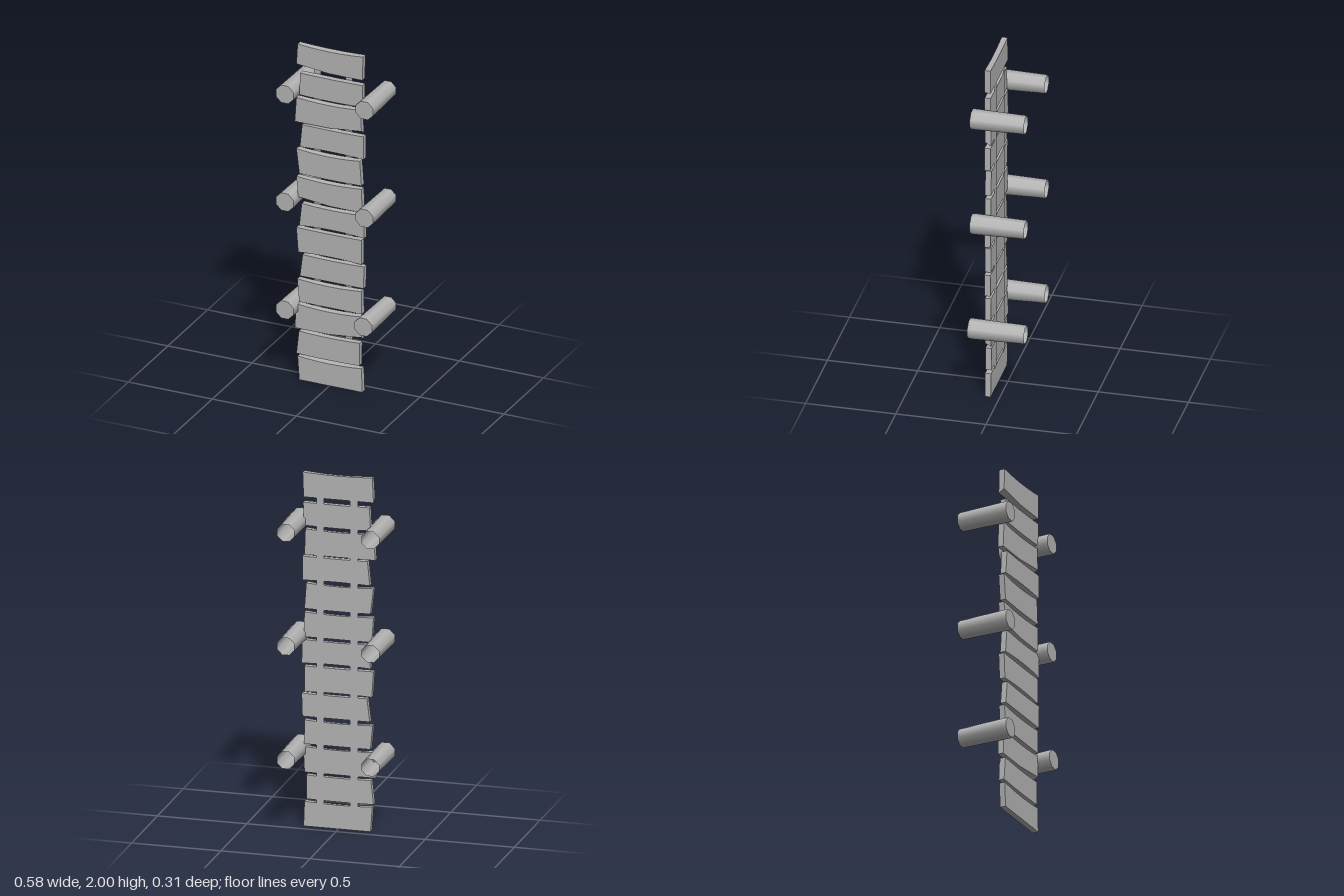
import * as THREE from 'three';

const greyWood = new THREE.MeshStandardMaterial({ color: 0xb4b4b4, side: THREE.DoubleSide });
greyWood.name = 'grey wood';

// Each plank: bottom y, top y, left x (bottom, top), right x (bottom, top),
// dip of the top edge, rise of the bottom edge, chipped lower corner (-1, 0 or 1)
const PLANKS = [
  [0.00, 0.14, -0.18, -0.19, 0.195, 0.19, 0.010, 0, 0],
  [0.155, 0.29, -0.197, -0.182, 0.178, 0.18, 0.006, -0.004, 0],
  [0.305, 0.45, -0.207, -0.197, 0.19, 0.197, 0.012, 0, 1],
  [0.465, 0.60, -0.18, -0.192, 0.192, 0.19, 0.010, 0, 0],
  [0.62, 0.75, -0.176, -0.16, 0.202, 0.206, 0.004, 0, 0],
  [0.76, 0.905, -0.187, -0.197, 0.19, 0.19, 0.002, 0.008, 0],
  [0.92, 1.055, -0.18, -0.165, 0.206, 0.202, 0.008, 0.010, 0],
  [1.07, 1.21, -0.187, -0.197, 0.195, 0.19, 0.010, 0, -1],
  [1.23, 1.375, -0.18, -0.197, 0.19, 0.18, 0.012, -0.003, 0],
  [1.39, 1.525, -0.176, -0.163, 0.202, 0.202, 0.003, 0.006, 0],
  [1.535, 1.68, -0.207, -0.197, 0.19, 0.185, 0.010, 0, 1],
  [1.70, 1.83, -0.18, -0.174, 0.195, 0.197, 0.003, -0.005, 0],
  [1.86, 2.00, -0.197, -0.19, 0.195, 0.2, 0.010, 0, -1],
];

// A box whose ends slant and whose long edges bow
function makePlank([y0, y1, lb, lt, rb, rt, dip, rise, chip]) {
  const geo = new THREE.BoxGeometry(2, 1, 1, 6, 1, 1);
  const p = geo.attributes.position;
  for (let i = 0; i < p.count; i++) {
    const u = p.getX(i), top = p.getY(i) > 0, front = p.getZ(i) > 0;
    const bow = (1 - u * u) * (front ? 1 : 0.6);
    const left = top ? lt : lb, right = top ? rt : rb;
    let y = top ? y1 - dip * bow : y0 + rise * bow;
    if (!top && front && chip) y += 0.02 * Math.max(0, u * chip);
    p.setXYZ(i, left + (right - left) * (u + 1) / 2, y, front ? 0.081 : 0.048);
  }
  geo.computeVertexNormals();
  return new THREE.Mesh(geo, greyWood);
}

// A tapered eight-sided post along z, with a straight lip and a closed front
function makePost(x, y, zFront) {
  const post = new THREE.Group();
  const zBack = -0.157, lip = 0.014, rFront = 0.057, rBack = 0.052;
  const add = (name, geo, z) => {
    const mesh = new THREE.Mesh(geo, greyWood);
    mesh.name = name;
    mesh.position.z = z;
    post.add(mesh);
  };
  const tube = (r1, r0, length) =>
    new THREE.CylinderGeometry(r1, r0, length, 8, 1, true).rotateX(Math.PI / 2).rotateZ(Math.PI / 8);
  const length = zFront - lip - zBack;
  add('postShaft', tube(rFront, rBack, length), zBack + length / 2);
  add('postLip', tube(rFront - 0.001, rFront, lip), zFront - lip / 2);
  add('postCap', new THREE.CircleGeometry(rFront - 0.001, 8).rotateZ(Math.PI / 8), zFront);
  post.position.set(x, y, 0);
  return post;
}

export function createModel() {
  const model = new THREE.Group();
  model.name = 'plankWalkway';

  PLANKS.forEach((row, i) => {
    const plank = makePlank(row);
    plank.name = `plank${i + 1}`;
    model.add(plank);
  });

  // Flat strips joining the planks behind
  for (const [name, x] of [['rightRail', -0.089], ['leftRail', 0.1]]) {
    const rail = new THREE.Mesh(new THREE.PlaneGeometry(0.043, 1.74), greyWood);
    rail.name = name;
    rail.position.set(x, 1.0, 0.045);
    model.add(rail);
  }

  // Three pairs of posts beside the planks
  [[0.43, 0.156], [1.073, 0.143], [1.715, 0.142]].forEach(([y, zLeft], i) => {
    const right = makePost(-0.238, y, 0.142);
    const left = makePost(0.236, y, zLeft);
    right.name = `rightPost${i + 1}`;
    left.name = `leftPost${i + 1}`;
    model.add(right, left);
  });

  return model;
}
